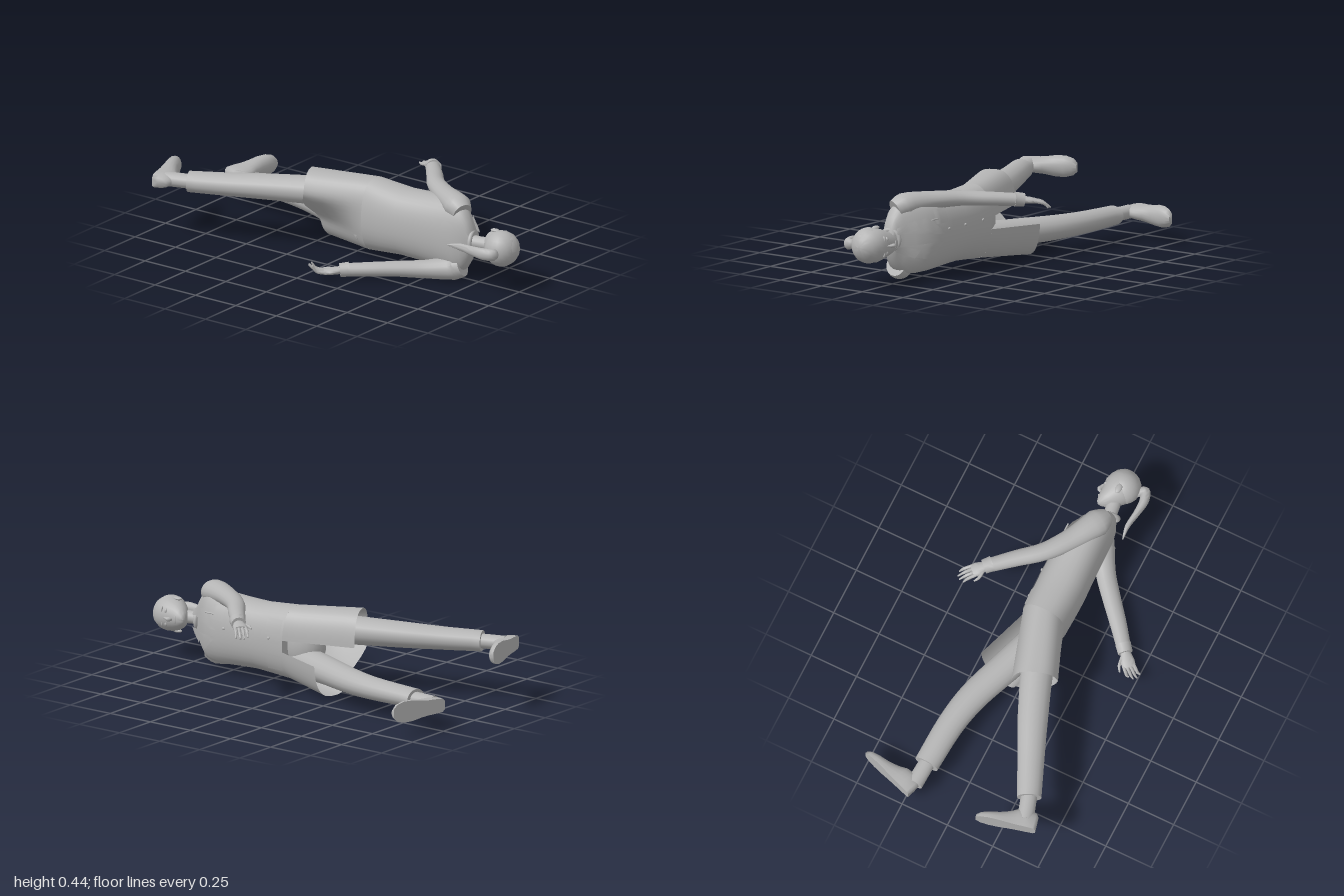
import * as THREE from 'three';
import { toCreasedNormals } from 'three/addons/utils/BufferGeometryUtils.js';

const V = (x, y, z) => new THREE.Vector3(x, y, z);
const { lerp, smoothstep } = THREE.MathUtils;
const TAU = Math.PI * 2;
const MID = 0.218; // centre line of the body, which lies on its side
const pw = (v, e) => Math.sign(v) * Math.abs(v) ** e;

// Surface through cross-sections; closed sections are capped at both ends
function loft(rings, closed = true) {
  const n = rings[0].length, pos = [], idx = [];
  rings.forEach(r => r.forEach(p => pos.push(p.x, p.y, p.z)));
  for (let i = 0; i < rings.length - 1; i++)
    for (let j = 0; j < (closed ? n : n - 1); j++) {
      const a = i * n + j, b = i * n + (j + 1) % n;
      idx.push(a, b, b + n, a, b + n, a + n);
    }
  if (closed) [0, rings.length - 1].forEach((r, end) => {
    const c = rings[r].reduce((s, p) => s.add(p), V(0, 0, 0)).divideScalar(n);
    const k = pos.length / 3;
    pos.push(c.x, c.y, c.z);
    for (let j = 0; j < n; j++) {
      const a = r * n + j, b = r * n + (j + 1) % n;
      end ? idx.push(k, a, b) : idx.push(k, b, a);
    }
  });
  const g = new THREE.BufferGeometry();
  g.setAttribute('position', new THREE.Float32BufferAttribute(pos, 3));
  g.setIndex(idx);
  return toCreasedNormals(g, 0.9);
}

// Tapered limb: points [x, y, z, radius along y, radius across]
function limb(pts, steps = 14, n = 18) {
  const curve = new THREE.CatmullRomCurve3(pts.map(p => V(p[0], p[1], p[2])));
  const rings = [];
  for (let i = 0; i <= steps; i++) {
    const u = i / steps, f = u * (pts.length - 1), k = Math.min(Math.floor(f), pts.length - 2);
    const ra = lerp(pts[k][3], pts[k + 1][3], f - k), rb = lerp(pts[k][4], pts[k + 1][4], f - k);
    const c = curve.getPoint(u), t = curve.getTangent(u);
    const a = V(0, 1, 0).addScaledVector(t, -t.y).normalize(), b = t.clone().cross(a);
    rings.push(Array.from({ length: n }, (_, j) => c.clone()
      .addScaledVector(a, Math.cos(j / n * TAU) * ra).addScaledVector(b, Math.sin(j / n * TAU) * rb)));
  }
  return loft(rings);
}

// Upper coat: [z, back x, front x, half width]
const TORSO = [[0.1, -0.105, 0.13, 0.187], [0.2, -0.11, 0.135, 0.178], [0.3, -0.112, 0.138, 0.17],
  [0.42, -0.106, 0.136, 0.175], [0.53, -0.102, 0.13, 0.182], [0.6, -0.1, 0.105, 0.185],
  [0.65, -0.098, 0.07, 0.182], [0.69, -0.09, 0.035, 0.155], [0.72, -0.077, 0.015, 0.11], [0.745, -0.062, 0.005, 0.05]];
function torsoRow(z) {
  let k = 0;
  while (k < TORSO.length - 2 && z > TORSO[k + 1][0]) k++;
  const t = (z - TORSO[k][0]) / (TORSO[k + 1][0] - TORSO[k][0]);
  return TORSO[k].map((v, i) => lerp(v, TORSO[k + 1][i], t));
}
function torsoPoint(row, th) {
  const [z, x0, x1, w] = row;
  return V((x0 + x1) / 2 + (x1 - x0) / 2 * pw(Math.cos(th), 0.8), MID + w * pw(Math.sin(th), 0.9), z);
}
function frontX(y, z) {
  const [, x0, x1, w] = torsoRow(z);
  const s = Math.min(1, Math.abs(y - MID) / w) ** (1 / 0.9);
  return (x0 + x1) / 2 + (x1 - x0) / 2 * Math.sqrt(1 - s * s) ** 0.8;
}

export function createModel() {
  const model = new THREE.Group();
  const grey = new THREE.MeshStandardMaterial({ color: 0xb4b4b4, side: THREE.DoubleSide });
  grey.name = 'plain grey';
  const add = (name, geo, x = 0, y = 0, z = 0) => {
    const m = new THREE.Mesh(geo, grey);
    m.name = name;
    m.position.set(x, y, z);
    model.add(m);
    return m;
  };
  const ball = (name, x, y, z, rx, ry, rz) =>
    add(name, new THREE.SphereGeometry(1, 20, 14), x, y, z).scale.set(rx, ry, rz);

  // Coat body
  const N = 36;
  add('coatBody', loft(TORSO.map(r => Array.from({ length: N }, (_, j) => torsoPoint(r, j / N * TAU)))));

  // Coat skirt, open at the front, each half following its own leg
  const skirt = [];
  for (let k = 6; k >= 0; k--) {
    const ring = [];
    for (let j = 0; j <= 48; j++) {
      const th = lerp(0.13, TAU - 0.13, j / 48), c = Math.cos(th);
      const y = MID - 0.003 + 0.2 * pw(Math.sin(th), 0.9);
      const w = c > 0 ? +(y > MID) : smoothstep(y, MID - 0.11, MID + 0.11);
      const x = lerp(0.11, -0.1, w) + 0.115 * pw(c, 0.7);
      const z = lerp(-0.205 + 0.27 * (x - 0.11), -0.22 - 0.37 * (x + 0.1), w);
      ring.push(torsoPoint(TORSO[0], th).lerp(V(x, y, z), k / 6));
    }
    skirt.push(ring);
  }
  add('coatSkirt', loft(skirt, false));
  ball('hips', 0.0, MID, 0.06, 0.09, 0.15, 0.12);

  // Thin panels laid on the chest: corners as [y, z]
  const panel = (name, c, off) => {
    const rows = [];
    for (let i = 0; i <= 8; i++) rows.push(Array.from({ length: 7 }, (_, j) => {
      const u = i / 8, v = j / 6;
      const at = q => lerp(lerp(c[0][q], c[1][q], v), lerp(c[3][q], c[2][q], v), u);
      return V(frontX(at(0), at(1)) + off, at(0), at(1));
    }));
    add(name, loft(rows, false));
  };
  for (const s of [1, -1]) {
    const m = d => MID + s * d;
    panel('lapel', [[m(0.035), 0.735], [m(0.075), 0.715], [m(0.105), 0.6], [m(0.015), 0.5]], 0.012);
    panel('collarFlap', [[m(0.03), 0.74], [m(0.06), 0.735], [m(0.095), 0.66], [m(0.05), 0.64]], 0.02);
    panel('hipPocket', [[m(0.05), 0.2], [m(0.13), 0.2], [m(0.13), 0.11], [m(0.05), 0.11]], 0.005);
  }
  panel('placket', [[0.222, 0.52], [0.245, 0.52], [0.245, 0.11], [0.222, 0.11]], 0.004);
  panel('chestPocket', [[0.285, 0.55], [0.355, 0.55], [0.355, 0.465], [0.285, 0.465]], 0.006);
  for (const z of [0.18, 0.33, 0.46]) ball('button', frontX(0.25, z) + 0.004, 0.25, z, 0.005, 0.008, 0.008);
  const pen = add('pen', new THREE.CylinderGeometry(0.004, 0.004, 0.07, 8), frontX(0.31, 0.56) + 0.012, 0.31, 0.55);
  pen.rotation.x = Math.PI / 2;
  const collar = add('collar', new THREE.TorusGeometry(0.05, 0.011, 10, 28), -0.026, MID, 0.735);
  collar.rotation.y = 0.25;

  // Neck and head
  add('neck', limb([[-0.035, MID, 0.7, 0.036, 0.038], [-0.025, MID, 0.77, 0.032, 0.034], [-0.015, MID, 0.83, 0.034, 0.036]], 6));
  const HEAD = [[0.775, 0.038, 0.016, 0.018], [0.785, 0.03, 0.032, 0.034], [0.81, 0.014, 0.054, 0.056],
    [0.84, -0.002, 0.07, 0.072], [0.87, -0.011, 0.081, 0.082], [0.905, -0.015, 0.086, 0.087],
    [0.94, -0.018, 0.081, 0.082], [0.97, -0.02, 0.064, 0.066], [0.99, -0.02, 0.038, 0.04], [1, -0.02, 0.01, 0.01]];
  add('head', loft(HEAD.map(([z, x, rx, ry]) => Array.from({ length: 28 }, (_, j) =>
    V(x + rx * Math.cos(j / 28 * TAU), MID + ry * Math.sin(j / 28 * TAU), z)))));
  ball('hair', -0.027, MID, 0.911, 0.084, 0.09, 0.086);
  add('nose', limb([[0.064, MID, 0.885, 0.005, 0.006], [0.075, MID, 0.862, 0.008, 0.01],
    [0.08, MID, 0.847, 0.012, 0.012], [0.066, MID, 0.837, 0.008, 0.006]], 8, 12));
  ball('mouth', 0.066, MID, 0.815, 0.006, 0.02, 0.005);
  for (const s of [1, -1]) {
    ball('eye', 0.058, MID + s * 0.033, 0.877, 0.01, 0.013, 0.008);
    ball('brow', 0.058, MID + s * 0.035, 0.9, 0.01, 0.018, 0.004);
    ball('ear', -0.018, MID + s * 0.083, 0.865, 0.016, 0.009, 0.026);
  }
  add('ponytail', limb([[-0.09, MID, 0.9, 0.018, 0.018], [-0.128, MID, 0.935, 0.03, 0.026], [-0.146, MID, 0.89, 0.031, 0.024],
    [-0.143, MID, 0.82, 0.025, 0.017], [-0.132, MID, 0.73, 0.018, 0.012], [-0.142, MID, 0.66, 0.003, 0.003]], 24));

  // Arms: sleeve path, then wrist, knuckles and fingertips
  const arm = (side, sleeve, wrist, knuckle, tip, thumbSide) => {
    add(side + 'Sleeve', limb(sleeve, 20));
    const [w, k, t] = [wrist, knuckle, tip].map(p => V(...p));
    const d = k.clone().sub(w).normalize(), e = V(-d.z, 0, d.x).normalize();
    const cuffEnd = w.clone().addScaledVector(d, 0.012), cuffStart = w.clone().addScaledVector(d, -0.035);
    add(side + 'Cuff', limb([[...cuffStart, 0.037, 0.04], [...cuffEnd, 0.034, 0.037]], 3));
    const pm = w.clone().lerp(k, 0.6);
    add(side + 'Palm', limb([[...w, 0.02, 0.024], [...pm, 0.016, 0.036], [...k, 0.011, 0.034]], 8));
    const finger = (a, b, c) => add(side + 'Finger',
      limb([[...a, 0.009, 0.009], [...b, 0.008, 0.008], [...c, 0.004, 0.004]], 8, 10));
    for (let i = 0; i < 4; i++) {
      const s = (i - 1.5) * 0.017, end = t.clone().addScaledVector(e, s * 1.15).addScaledVector(d, i % 3 ? 0 : -0.015);
      const a = k.clone().addScaledVector(d, -0.01).addScaledVector(e, s);
      const b = k.clone().lerp(t, 0.5).addScaledVector(e, s * 1.1);
      b.y = lerp(k.y, t.y, 0.3);
      finger(a, b, end);
    }
    const a = w.clone().lerp(k, 0.3).addScaledVector(e, thumbSide * 0.02);
    const b = w.clone().lerp(k, 0.75).addScaledVector(e, thumbSide * 0.046);
    const c = k.clone().addScaledVector(d, 0.01).addScaledVector(e, thumbSide * 0.052);
    finger(a, b, c);
  };
  arm('left', [[-0.035, 0.355, 0.675, 0.055, 0.05], [-0.015, 0.378, 0.63, 0.06, 0.07], [0.055, 0.39, 0.5, 0.045, 0.055],
    [0.148, 0.392, 0.375, 0.038, 0.046], [0.255, 0.387, 0.285, 0.035, 0.042], [0.365, 0.38, 0.19, 0.032, 0.036]],
  [0.375, 0.38, 0.182], [0.425, 0.372, 0.13], [0.475, 0.338, 0.08], -1);
  arm('right', [[-0.035, 0.08, 0.675, 0.055, 0.05], [-0.045, 0.062, 0.63, 0.06, 0.065], [-0.125, 0.052, 0.51, 0.045, 0.05],
    [-0.21, 0.055, 0.405, 0.038, 0.046], [-0.295, 0.056, 0.305, 0.035, 0.042], [-0.375, 0.054, 0.205, 0.032, 0.036]],
  [-0.385, 0.054, 0.195], [-0.445, 0.046, 0.125], [-0.5, 0.09, 0.075], 1);

  // Trousers and ankles
  add('leftTrouserLeg', limb([[0, 0.31, 0.08, 0.08, 0.085], [-0.075, 0.305, -0.15, 0.072, 0.082], [-0.182, 0.3, -0.42, 0.064, 0.076],
    [-0.262, 0.296, -0.6, 0.057, 0.068], [-0.345, 0.295, -0.785, 0.052, 0.061]], 18));
  add('rightTrouserLeg', limb([[0, 0.125, 0.08, 0.08, 0.085], [0.085, 0.127, -0.15, 0.068, 0.08], [0.167, 0.127, -0.38, 0.061, 0.074],
    [0.2, 0.127, -0.55, 0.055, 0.068], [0.215, 0.127, -0.8, 0.048, 0.063]], 18));
  add('leftAnkle', limb([[-0.335, 0.295, -0.76, 0.036, 0.04], [-0.38, 0.295, -0.9, 0.036, 0.042]], 3));
  add('rightAnkle', limb([[0.215, 0.127, -0.78, 0.034, 0.04], [0.222, 0.127, -0.92, 0.034, 0.042]], 3));

  // Shoes: [distance from heel, height, half width], flat underneath
  const SHOE = [[0, 0.075, 0.022], [0.012, 0.093, 0.034], [0.06, 0.103, 0.038], [0.1, 0.098, 0.039], [0.14, 0.075, 0.044],
    [0.19, 0.057, 0.053], [0.24, 0.046, 0.054], [0.28, 0.035, 0.043], [0.302, 0.02, 0.022]];
  const shoe = (name, hx, hy, hz, dx, dz) => add(name, loft(SHOE.map(([s, h, w]) =>
    Array.from({ length: 24 }, (_, j) => {
      const th = j / 24 * TAU, up = Math.sin(th) > 0 ? h * Math.sin(th) ** 0.75 : 0;
      return V(hx + dx * s - dz * up, hy + w * Math.cos(th), hz + dz * s + dx * up);
    }))));
  shoe('leftShoe', -0.45, 0.293, -0.932, 0.974, -0.227);
  shoe('rightShoe', 0.222, 0.128, -0.988, 0.945, 0.326);

  return model;
}
